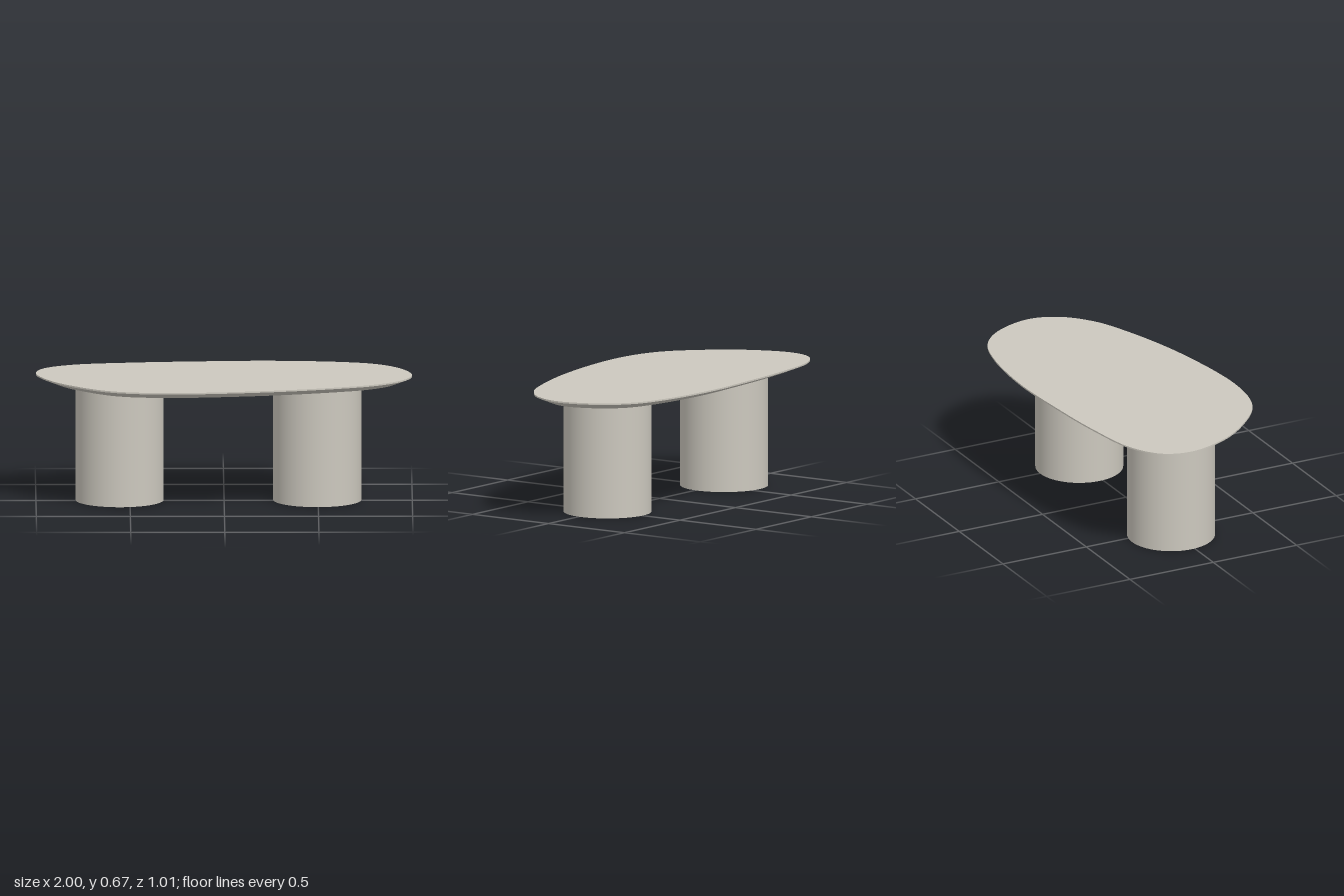
import * as THREE from 'three';

const TOP = 0.665, LIP = 0.657, UNDER = 0.625, BEVEL = 0.08, STEPS = 160;

// Plan outline of the tabletop as x, z pairs
const PLAN = [
  [-1, -0.13], [-0.955, -0.28], [-0.8, -0.39], [-0.5, -0.453], [-0.15, -0.49], [0.24, -0.51],
  [0.6, -0.475], [0.8, -0.41], [0.93, -0.28], [1, -0.06], [0.95, 0.1], [0.81, 0.235],
  [0.6, 0.33], [0.2, 0.443], [-0.32, 0.502], [-0.6, 0.445], [-0.8, 0.28], [-0.93, 0.1],
];

// Samples the outline, moved inwards by a constant distance
function outline(inset) {
  const curve = new THREE.CatmullRomCurve3(PLAN.map(([x, z]) => new THREE.Vector3(x, 0, z)), true);
  return Array.from({ length: STEPS }, (_, i) => {
    const p = curve.getPointAt(i / STEPS), t = curve.getTangentAt(i / STEPS);
    return new THREE.Vector2(p.x - t.z * inset, p.z + t.x * inset);
  });
}

// Closed band between an upper and a lower ring
function band(upper, yUpper, lower, yLower) {
  const pos = [], index = [];
  upper.forEach((p, i) => {
    pos.push(p.x, yUpper, p.y, lower[i].x, yLower, lower[i].y);
    const a = 2 * i, b = a + 1, c = 2 * ((i + 1) % STEPS), d = c + 1;
    index.push(a, c, b, c, d, b);
  });
  const geo = new THREE.BufferGeometry();
  geo.setAttribute('position', new THREE.Float32BufferAttribute(pos, 3));
  geo.setIndex(index);
  geo.computeVertexNormals();
  return geo;
}

// Flat cap facing up (side = 1) or down (side = -1)
function cap(ring, y, side) {
  const shape = new THREE.Shape(ring.map(p => new THREE.Vector2(p.x, -side * p.y)));
  return new THREE.ShapeGeometry(shape).rotateX(-side * Math.PI / 2).translate(0, y, 0);
}

export function createModel() {
  const model = new THREE.Group();
  model.name = 'table';
  const stone = new THREE.MeshStandardMaterial({ color: 0xccc8be });
  stone.name = 'warm grey stone';
  const add = (parent, name, geo) => {
    const mesh = new THREE.Mesh(geo, stone);
    mesh.name = name;
    parent.add(mesh);
    return mesh;
  };

  // Tabletop: flat face, thin lip, sloping underside edge
  const tabletop = new THREE.Group();
  tabletop.name = 'tabletop';
  model.add(tabletop);
  const rim = outline(0), inner = outline(BEVEL);
  add(tabletop, 'topFace', cap(rim, TOP, 1));
  add(tabletop, 'lip', band(rim, TOP, rim, LIP));
  add(tabletop, 'bevel', band(rim, LIP, inner, UNDER));
  add(tabletop, 'underside', cap(inner, UNDER, -1));

  // Two drum legs
  for (const [name, x] of [['rightLeg', -0.555], ['leftLeg', 0.495]]) {
    add(model, name, new THREE.CylinderGeometry(0.234, 0.234, UNDER, 64)).position.set(x, UNDER / 2, -0.02);
  }
  return model;
}
